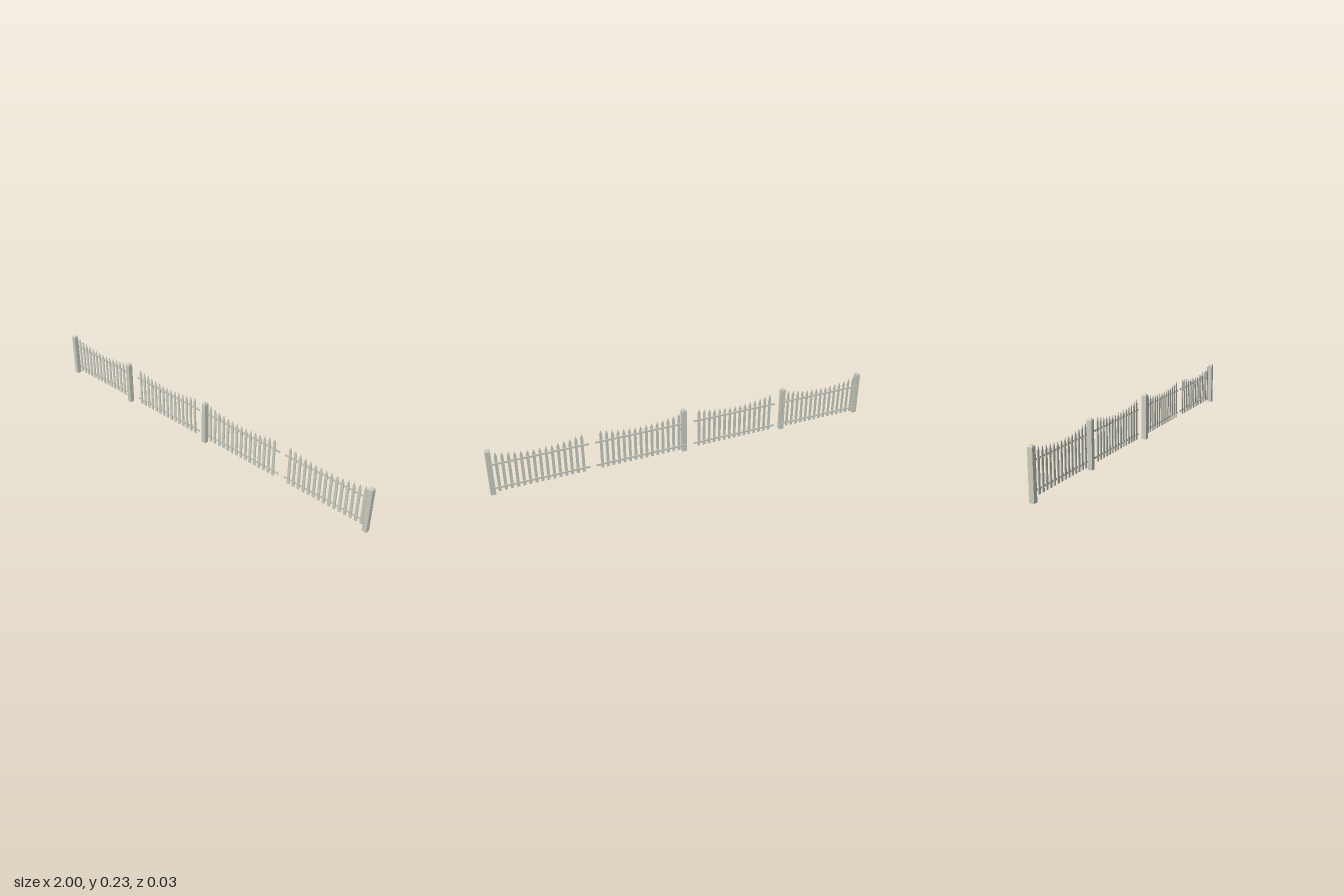
import * as THREE from 'three';

const wood = new THREE.MeshStandardMaterial({ color: 0xcbcdc2, flatShading: true });
wood.name = 'weatheredWood';

const HALF_POST = 0.0116;
const RAIL_LENGTH = 0.462;
const PICKETS = 15;
const PICKET_GAP = 0.0286;

// Square post with a bevelled top
function makePostGeometry() {
  const r = HALF_POST * Math.SQRT2;
  const profile = [[0, 0], [r, 0], [r, 0.225], [r * 0.7, 0.232], [0, 0.232]]
    .map(([x, y]) => new THREE.Vector2(x, y));
  return new THREE.LatheGeometry(profile, 4).rotateY(Math.PI / 4);
}

// Flat board with a pointed tip
function makePicketGeometry(top) {
  const w = 0.0068, bottom = 0.014;
  const shape = new THREE.Shape([
    [-w, bottom], [w, bottom], [w, top - 0.021], [0, top], [-w, top - 0.021],
  ].map(([x, y]) => new THREE.Vector2(x, y)));
  return new THREE.ExtrudeGeometry(shape, { depth: 0.004, bevelEnabled: false });
}

// One fence section: two rails behind a sagging row of pickets
function makePanel() {
  const panel = new THREE.Group();
  for (const [name, y] of [['lowerRail', 0.0358], ['upperRail', 0.1605]]) {
    const rail = new THREE.Mesh(new THREE.BoxGeometry(RAIL_LENGTH, 0.009, 0.0042), wood);
    rail.name = name;
    rail.position.set(0, y, -0.0113);
    panel.add(rail);
  }
  for (let i = 0; i < PICKETS; i++) {
    const t = (2 * i) / (PICKETS - 1) - 1;
    const picket = new THREE.Mesh(makePicketGeometry(0.195 + 0.024 * t * t), wood);
    picket.name = 'picket';
    picket.position.set(t * PICKET_GAP * (PICKETS - 1) / 2, 0, -0.0093);
    panel.add(picket);
  }
  return panel;
}

export function createModel() {
  const fence = new THREE.Group();
  fence.name = 'picketFence';

  const postGeometry = makePostGeometry();
  for (const x of [-0.9884, -0.527, 0.033, 0.9884]) {
    const post = new THREE.Mesh(postGeometry, wood);
    post.name = 'post';
    post.position.set(x, 0, 0.0018);
    fence.add(post);
  }

  for (const x of [-0.757, -0.246, 0.264, 0.757]) {
    const panel = makePanel();
    panel.name = 'fencePanel';
    panel.position.x = x;
    fence.add(panel);
  }
  return fence;
}
